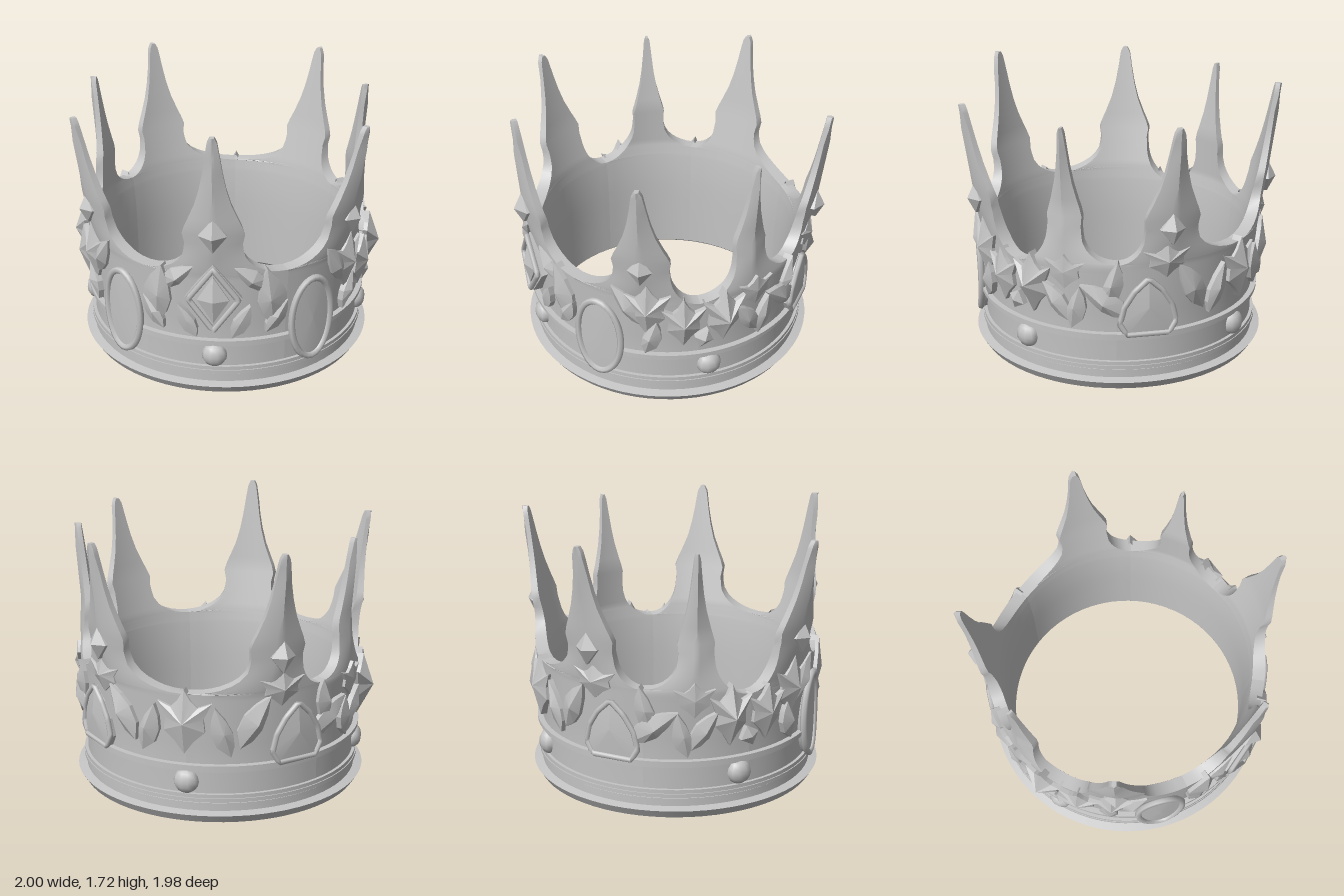
import * as THREE from 'three';
import { toCreasedNormals } from 'three/addons/utils/BufferGeometryUtils.js';

const metal = new THREE.MeshStandardMaterial({ color: 0xc4c4c4, side: THREE.DoubleSide });
metal.name = 'grey metal';
const D = Math.PI / 180;
const R = 0.88; // wall radius used to turn arc lengths into angles
const polar = (a, y, r) => [r * Math.sin(a), y, r * Math.cos(a)];

// Piecewise linear lookup in [[x, value], ...]
function lerpTable(t, x) {
  if (x <= t[0][0]) return t[0][1];
  for (let i = 1; i < t.length; i++) {
    if (x <= t[i][0]) {
      const k = (x - t[i - 1][0]) / (t[i][0] - t[i - 1][0]);
      return t[i - 1][1] + k * (t[i][1] - t[i - 1][1]);
    }
  }
  return t[t.length - 1][1];
}

function geometryFrom(points, index) {
  const g = new THREE.BufferGeometry();
  g.setAttribute('position', new THREE.Float32BufferAttribute(points.flat(), 3));
  g.setIndex(index);
  return g;
}

// Half width of a spike from its shoulder (0) to its tip (1)
const SPIKE = [[0, 0.17], [0.06, 0.165], [0.13, 0.178], [0.2, 0.163], [0.28, 0.138],
  [0.41, 0.1], [0.55, 0.072], [0.7, 0.052], [0.95, 0.028], [1, 0.012]];

// One wall sector that narrows into a spike; l and r hold the neighbouring valleys
function wallSector({ angle, top, tipR, midR, width, l, r }) {
  const ys = [0.03, 0.4, 0.5, 0.6, 0.7, 0.74, 0.76, 0.765, 0.775, 0.79, 0.805, 0.82, 0.825, 0.835, 0.85,
    0.875, 0.905, 0.95, 1, 1.04, 1.1, 1.15, 1.2, 1.3, 1.4, 1.5, 1.6].filter(y => y < top - 0.04).concat(top - 0.03, top);
  const outer = [[0.4, 0.87], [0.8, 0.9], [1.15, midR], [top, tipR]];
  const inner = [[0.4, 0.79], [0.6, 0.796], [0.75, 0.81], [0.85, 0.825], [1.15, midR - 0.06], [top, tipR - 0.035]];
  const halfAngle = (y, v) => {
    const full = v.half * D * R;
    if (y <= v.y) return full / R;
    const w = lerpTable(SPIKE, (y - 1) / (top - 1)) * width;
    const t = Math.min(1, (y - v.y) / (1 - v.y));
    return (w + (full - w) * (1 - Math.sqrt(1 - (1 - t) ** 2))) / R;
  };
  const n = 12, loop = 2 * (n + 1), pts = [], idx = [];
  for (const y of ys) {
    const a0 = angle * D - halfAngle(y, l), a1 = angle * D + halfAngle(y, r);
    const ridge = 0.015 * THREE.MathUtils.clamp((y - 0.8) / 0.2, 0, 1) * (y > 1.5 ? 0.4 : 1);
    for (let j = 0; j <= n; j++) {
      const u = j / n;
      pts.push(polar(a0 + (a1 - a0) * u, y, lerpTable(outer, y) + ridge * (1 - 2 * Math.abs(2 * u - 1))));
    }
    for (let j = n; j >= 0; j--) pts.push(polar(a0 + (a1 - a0) * j / n, y, lerpTable(inner, y)));
  }
  for (let i = 0; i < ys.length - 1; i++) {
    for (let j = 0; j < loop; j++) {
      // No side faces where neighbouring sectors join
      if ((j === n && ys[i + 1] <= r.y) || (j === loop - 1 && ys[i + 1] <= l.y)) continue;
      const a = i * loop + j, b = i * loop + (j + 1) % loop;
      idx.push(a, b, b + loop, a, b + loop, a + loop);
    }
  }
  const last = (ys.length - 1) * loop;
  for (let j = 1; j < loop - 1; j++) idx.push(last, last + j, last + j + 1);
  return toCreasedNormals(geometryFrom(pts, idx), 0.6);
}

// Faceted plate wrapped on the wall: rises from the outline to a raised centre
function plate(outline, { angle, y, w, h, tilt = 0, edge = 0.915, peak = 0.96, mirror = 1, lean = 0 }) {
  const c = Math.cos(tilt * D), s = Math.sin(tilt * D), n = outline.length;
  const flat = outline.map(([u, v]) => [(u * w * c - v * h * s) * mirror, u * w * s + v * h * c]);
  if (mirror < 0) flat.reverse();
  const at = (u, v, r) => polar(mirror * angle * D + u / R, y + v, r + lean * v);
  const pts = [...flat.map(([u, v]) => at(u, v, edge - 0.06)), ...flat.map(([u, v]) => at(u, v, edge)), at(0, 0, peak)];
  const idx = [];
  for (let i = 0; i < n; i++) {
    const k = (i + 1) % n;
    idx.push(i, k, n + k, i, n + k, n + i, n + i, n + k, 2 * n);
  }
  return toCreasedNormals(geometryFrom(pts, idx), 0.25);
}

// Rounded frame following an outline on the wall
function frame(outline, { angle, y, w, h, mirror = 1, edge, tube, smooth }) {
  const pts = outline.map(([u, v]) =>
    new THREE.Vector3(...polar(mirror * (angle * D + u * w / R), y + v * h, edge)));
  let path = new THREE.CatmullRomCurve3(pts, true);
  if (!smooth) {
    path = new THREE.CurvePath();
    pts.forEach((p, i) => path.add(new THREE.LineCurve3(p, pts[(i + 1) % pts.length])));
  }
  return new THREE.TubeGeometry(path, 40, tube, 6, true);
}

// Outlines, counter-clockwise, in unit half sizes
const DIAMOND = [[0, -1], [1, 0], [0, 1], [-1, 0]];
const FLEUR = [[0, -1], [0.35, -0.6], [0.75, -0.3], [0.7, 0.1], [1, 0.6], [0.5, 0.45],
  [0.25, 0.65], [0, 1], [-0.25, 0.65], [-0.5, 0.45], [-1, 0.6], [-0.7, 0.1], [-0.75, -0.3], [-0.35, -0.6]];
const LEAF = [[0.5, -1], [0.95, -0.4], [0.8, 0.2], [0.3, 0.65], [-0.35, 1], [-0.5, 0.4], [-0.45, -0.2], [-0.1, -0.65]];
const ARCH = [[-0.75, -1], [0.75, -1], [1, -0.6], [0.85, 0], [0.5, 0.55], [0, 1], [-0.5, 0.55], [-0.85, 0], [-1, -0.6]];
const OVAL = Array.from({ length: 24 }, (_, i) => [Math.cos(i * 15 * D), Math.sin(i * 15 * D)]);

export function createModel() {
  const crown = new THREE.Group();
  crown.name = 'crown';
  const body = new THREE.Group();
  body.name = 'crownBody';
  body.position.z = -0.02;
  crown.add(body);
  const add = (name, geometry) => {
    const m = new THREE.Mesh(geometry, metal);
    m.name = name;
    body.add(m);
    return m;
  };
  const lathe = (name, profile) =>
    add(name, toCreasedNormals(new THREE.LatheGeometry(profile.map(p => new THREE.Vector2(...p)), 72), 0.5));

  // Spiked wall: seven sectors meeting at the valleys
  const v = [{ y: 0.82, half: 29 }, { y: 0.76, half: 22.5 }, { y: 0.82, half: 21 }, { y: 0.82, half: 35 }];
  const spikes = [
    { angle: 0, top: 1.73, tipR: 0.995, midR: 0.95, width: 1, l: v[0], r: v[0] },
    { angle: 58, top: 1.65, tipR: 1.035, midR: 0.96, width: 0.97, l: v[0], r: v[1] },
    { angle: 103, top: 1.64, tipR: 0.91, midR: 0.875, width: 0.65, l: v[1], r: v[2] },
    { angle: 145, top: 1.67, tipR: 1.015, midR: 0.95, width: 0.95, l: v[2], r: v[3] },
  ];
  for (const s of spikes) {
    add('wallSpike', wallSector(s));
    if (s.angle) add('wallSpike', wallSector({ ...s, angle: -s.angle, l: s.r, r: s.l }));
  }

  // Flared foot and raised bands
  lathe('footRing', [[0.79, 0.03], [0.81, 0.01], [0.9, 0.01], [0.935, 0.065], [0.88, 0.075],
    [0.88, 0.125], [0.86, 0.13]]);
  for (const [y, r] of [[0.147, 0.895], [0.172, 0.89], [0.362, 0.905], [0.34, 0.89]]) {
    lathe('band', [[0.85, y - 0.012], [r, y - 0.012], [r, y + 0.012], [0.85, y + 0.012]]);
  }

  // Round studs on the lower band
  for (const a of [0, 85, -85, 180]) {
    const stud = add('stud', new THREE.SphereGeometry(0.078, 10, 8));
    stud.position.set(...polar(a * D, 0.26, 0.87));
    stud.rotation.y = a * D;
    stud.scale.z = 0.75;
  }

  // Large framed diamond and gem on the front spike
  const big = { angle: 0, y: 0.68, w: 0.165, h: 0.23 };
  add('frontDiamondMount', plate(DIAMOND, { ...big, edge: 0.935, peak: 0.95 }));
  add('frontDiamondFrame', frame(DIAMOND, { ...big, w: 0.14, h: 0.205, edge: 0.95, tube: 0.018 }));
  add('frontDiamond', plate(DIAMOND, { ...big, w: 0.09, h: 0.155, edge: 0.95, peak: 0.985 }));
  add('spikeGem', plate(DIAMOND, { angle: 0, y: 1.11, w: 0.078, h: 0.11, edge: 0.965, peak: 1.02 }));

  // Rear ornament
  add('rearFleur', plate(FLEUR, { angle: 180, y: 0.65, w: 0.16, h: 0.2, peak: 0.965 }));

  // [outline, angle, y, half width, half height, tilt, peak radius]
  const foliage = [
    [LEAF, 14, 0.79, 0.08, 0.13, 35, 0.95], [LEAF, 21, 0.66, 0.13, 0.2, -8, 0.955],
    [LEAF, 10, 0.51, 0.07, 0.12, -40, 0.93], [LEAF, 24, 0.53, 0.07, 0.12, -45, 0.94],
    [LEAF, 52, 0.74, 0.09, 0.17, 20, 0.96], [FLEUR, 60, 0.73, 0.14, 0.2, 0, 0.97],
    [LEAF, 61, 0.52, 0.08, 0.13, -30, 0.95], [FLEUR, 74, 0.63, 0.13, 0.18, 0, 0.965],
    [FLEUR, 90, 0.65, 0.13, 0.2, 0, 1.0], [DIAMOND, 82, 0.5, 0.06, 0.07, -20, 0.945],
    [FLEUR, 104, 0.76, 0.12, 0.11, 0, 0.93], [LEAF, 100, 0.56, 0.08, 0.14, 20, 0.945],
    [LEAF, 108, 0.54, 0.08, 0.14, -25, 0.94], [LEAF, 119, 0.58, 0.1, 0.17, 40, 0.95],
    [LEAF, 122, 0.7, 0.08, 0.15, -25, 0.95], [FLEUR, 143, 0.84, 0.14, 0.11, 0, 0.95],
    [LEAF, 153, 0.64, 0.1, 0.18, 15, 0.96], [LEAF, 165, 0.59, 0.09, 0.16, -30, 0.95],
  ];
  for (const mirror of [1, -1]) {
    for (const [shape, angle, y, w, h, tilt, peak] of foliage) {
      add('foliage', plate(shape, { angle, y, w, h, tilt, peak, mirror, lean: 0.08 }));
    }
    // Oval medallions beside the front
    const oval = { angle: 40, y: 0.45, w: 0.145, h: 0.27, mirror };
    add('medallion', plate(OVAL, { ...oval, edge: 0.91, peak: 0.92 }));
    add('medallionFrame', frame(OVAL, { ...oval, edge: 0.91, tube: 0.022, smooth: true }));
    // Pointed arches at the back
    const arch = { angle: 136, y: 0.555, w: 0.165, h: 0.18, mirror };
    add('archPanel', plate(ARCH, { ...arch, edge: 0.915, peak: 0.935 }));
    add('archFrame', frame(ARCH, { ...arch, edge: 0.915, tube: 0.018 }));
    // Pointed gems on the side and rear spikes
    for (const angle of [58, 144]) {
      add('spikeGem', plate(DIAMOND, { angle, y: 1.05, w: 0.07, h: 0.1, edge: 0.96, peak: 1.01, mirror }));
    }
  }
  return crown;
}
